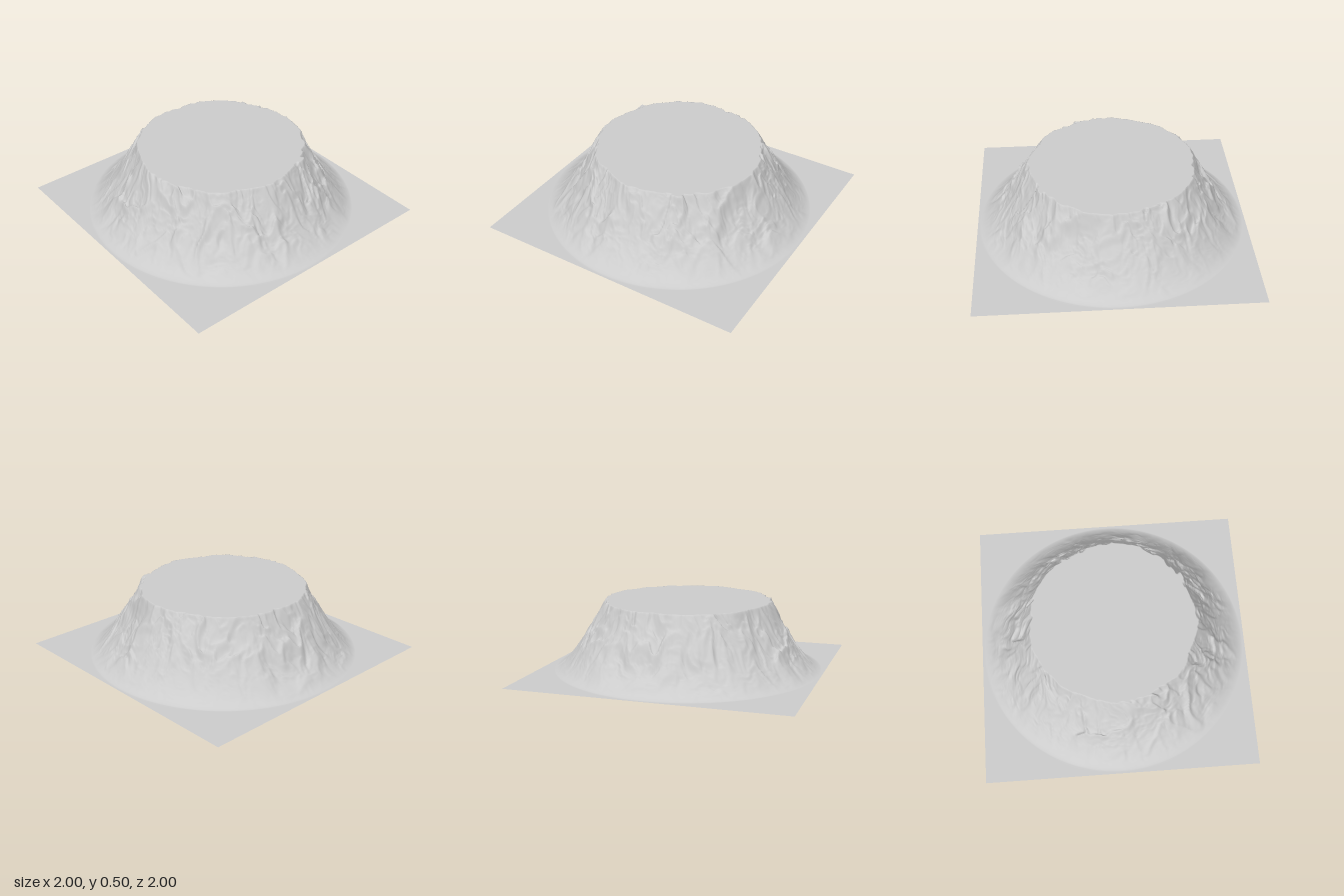
import * as THREE from 'three';

// Repeatable value noise on a lattice
function hash(i, j) {
  let h = Math.imul(i, 374761393) + Math.imul(j, 668265263);
  h = Math.imul(h ^ (h >>> 13), 1274126177);
  return ((h ^ (h >>> 16)) >>> 0) / 4294967296;
}

function noise(x, y) {
  const i = Math.floor(x), j = Math.floor(y);
  const fade = (t) => t * t * t * (t * (t * 6 - 15) + 10);
  const u = fade(x - i), v = fade(y - j);
  const a = hash(i, j) * (1 - u) + hash(i + 1, j) * u;
  const b = hash(i, j + 1) * (1 - u) + hash(i + 1, j + 1) * u;
  return (a * (1 - v) + b * v) * 2 - 1;
}

// Warped ridges and gullies, roughly -1 to 1
function erosion(x, z) {
  const wx = x + 0.07 * noise(x * 7 + 31, z * 7) + 0.03 * noise(x * 17, z * 17 + 9);
  const wz = z + 0.07 * noise(x * 7, z * 7 + 57) + 0.03 * noise(x * 17 + 5, z * 17);
  let sum = 0, amp = 0.5, freq = 5;
  for (let o = 0; o < 4; o++) {
    const ridge = 1 - 2 * Math.abs(noise(wx * freq + o * 19, wz * freq - o * 23));
    sum += amp * ridge;
    amp *= 0.5;
    freq *= 2.1;
  }
  return sum;
}

const TOP = 0.5;
const FOOT = 0.985;

// Concave flank that steepens inward and is cut flat at the plateau
function height(x, z) {
  const r = Math.hypot(x, z);
  if (r >= FOOT) return 0;
  const flank = TOP * Math.pow((FOOT - r) / 0.385, 1.5);
  const rough = 0.065 * (erosion(x, z) - 0.2) * Math.min(1, flank / 0.25);
  return Math.max(0, Math.min(TOP, flank + rough));
}

export function createModel() {
  const group = new THREE.Group();
  const SEG = 480, CORE = 4, SLOPE = 120, APRON = 4;
  const rings = CORE + SLOPE + APRON;
  const positions = [], indices = [];

  // Rings: flat core, finely divided flank, then apron blending from circle to square
  for (let k = 0; k <= rings; k++) {
    for (let s = 0; s < SEG; s++) {
      const a = (s / SEG) * Math.PI * 2;
      const c = Math.cos(a), d = Math.sin(a);
      const edge = 1 / Math.max(Math.abs(c), Math.abs(d));
      let r;
      if (k <= CORE) r = 0.48 * k / CORE;
      else if (k <= CORE + SLOPE) r = 0.48 + (FOOT - 0.48) * (k - CORE) / SLOPE;
      else r = FOOT + (edge - FOOT) * (k - CORE - SLOPE) / APRON;
      const x = r * c, z = r * d;
      positions.push(x, height(x, z), z);
      if (k < rings) {
        const t = (s + 1) % SEG;
        const p = k * SEG + s, q = k * SEG + t;
        if (k > 0) indices.push(p, q, p + SEG);
        indices.push(q, q + SEG, p + SEG);
      }
    }
  }

  const geometry = new THREE.BufferGeometry();
  geometry.setAttribute('position', new THREE.Float32BufferAttribute(positions, 3));
  geometry.setIndex(indices);
  geometry.computeVertexNormals();
  // The core's centre vertices coincide, so give them the plateau's normal
  for (let s = 0; s < SEG; s++) geometry.attributes.normal.setXYZ(s, 0, 1, 0);

  // Open sheet, hollow underneath
  const mesa = new THREE.Mesh(
    geometry,
    new THREE.MeshStandardMaterial({ color: 0xcccccc, side: THREE.DoubleSide })
  );
  mesa.name = 'mesaTerrain';
  group.add(mesa);
  return group;
}
